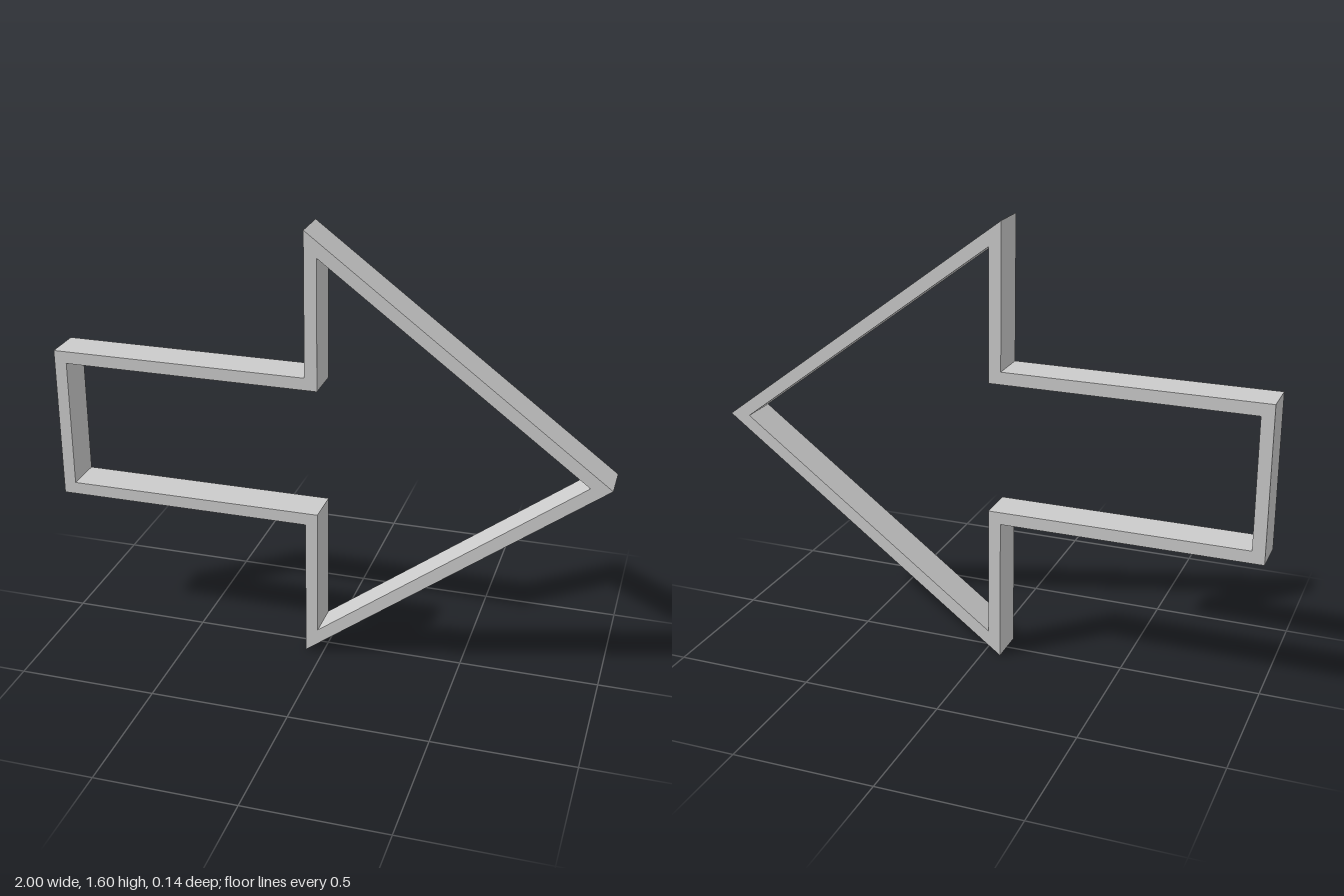
import * as THREE from 'three';

const MID = 0.8;      // height of the arrow's axis
const DEPTH = 0.14;

// Closed arrow contour from its lower half, mirrored about the axis
function arrowPoints(tail, neck, tip, halfShaft, halfHead) {
  const lower = [[tail, -halfShaft], [neck, -halfShaft], [neck, -halfHead], [tip, 0]];
  const upper = lower.slice(0, 3).reverse().map(([x, y]) => [x, -y]);
  return [...lower, ...upper].map(([x, y]) => new THREE.Vector2(x, MID + y));
}

export function createModel() {
  const group = new THREE.Group();
  group.name = 'arrow';

  // Outer contour with an inset contour cut out, leaving an even wall
  const shape = new THREE.Shape(arrowPoints(-1, -0.065, 1, 0.281, 0.8));
  shape.holes.push(new THREE.Path(arrowPoints(-0.955, -0.02, 0.925, 0.236, 0.709)));

  const geometry = new THREE.ExtrudeGeometry(shape, { depth: DEPTH, bevelEnabled: false });
  geometry.translate(0, 0, -DEPTH / 2);

  const frame = new THREE.Mesh(
    geometry,
    new THREE.MeshStandardMaterial({ color: 0xcccccc, flatShading: true })
  );
  frame.name = 'arrowFrame';
  group.add(frame);
  return group;
}
